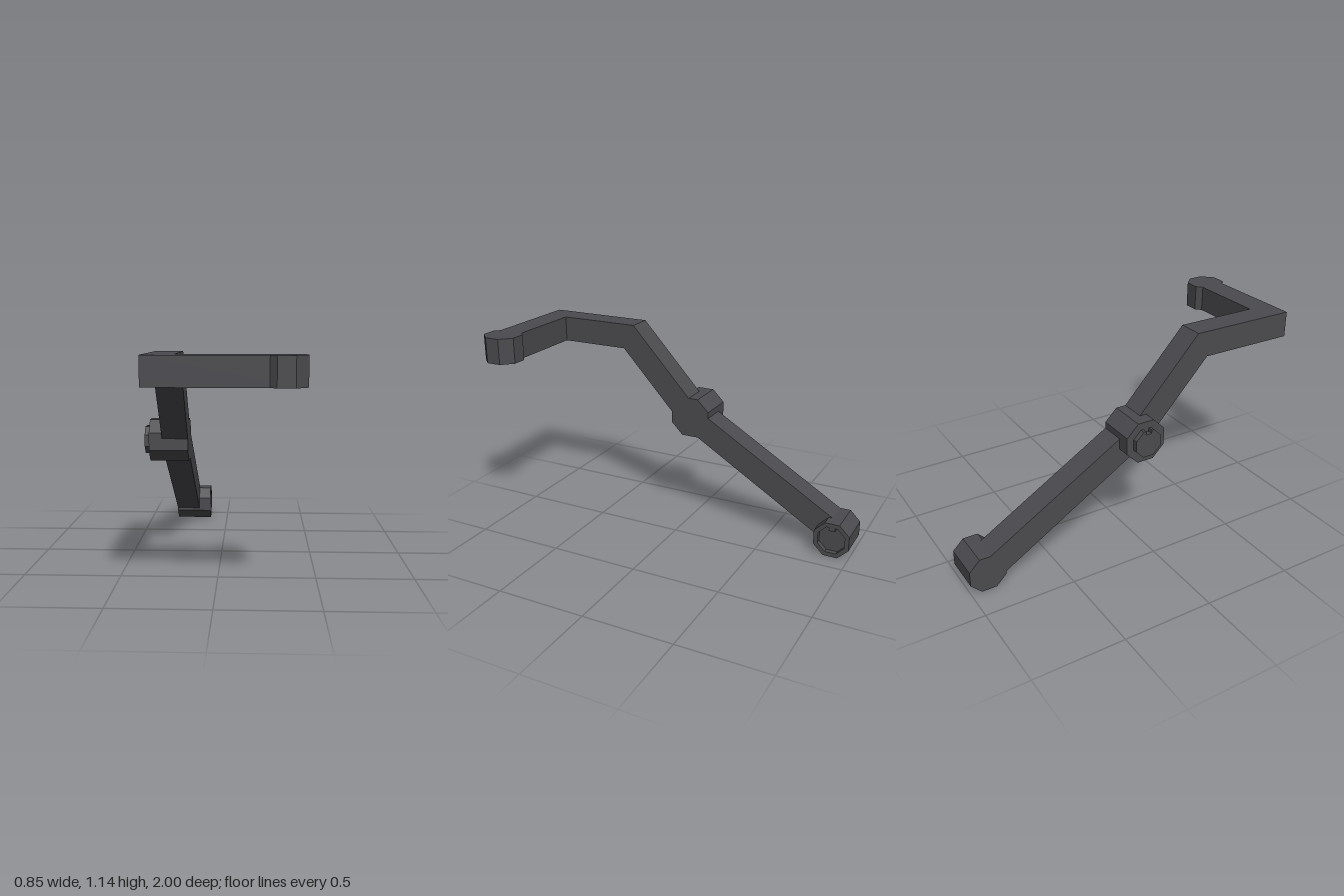
import * as THREE from 'three';

const iron = new THREE.MeshStandardMaterial({ color: 0x4b4a4e });
iron.name = 'dark iron';

// Octagon with flat sides, h = half the width across flats
function octagon(h, cx = 0, cy = 0) {
  const f = h * 0.414;
  return [[f, h], [-f, h], [-h, f], [-h, -f], [-f, -h], [f, -h], [h, -f], [h, f]]
    .map(([x, y]) => [x + cx, y + cy]);
}

// Octagon with a small square key notch in its top edge
function keyed(h, cx, cy) {
  const k = 0.017, d = 0.02;
  const notch = [[k, h], [k, h - d], [-k, h - d], [-k, h]].map(([x, y]) => [x + cx, y + cy]);
  const o = octagon(h, cx, cy);
  return [o[0], ...notch, ...o.slice(1)];
}

const toPoints = (pts) => pts.map(([x, y]) => new THREE.Vector2(x, y));

function extrude(pts, depth, hole) {
  const shape = new THREE.Shape(toPoints(pts));
  if (hole) shape.holes.push(new THREE.Path(toPoints(hole)));
  return new THREE.ExtrudeGeometry(shape, { depth, bevelEnabled: false });
}

export function createModel() {
  const group = new THREE.Group();
  group.name = 'crank';

  const add = (name, geometry) => {
    const mesh = new THREE.Mesh(geometry, iron);
    mesh.name = name;
    group.add(mesh);
  };
  // Side profile given as (-z, y), running from x0 to x1
  const addSide = (name, pts, x0, x1, hole) =>
    add(name, extrude(pts, x1 - x0, hole).rotateY(Math.PI / 2).translate(x0, 0, 0));
  // Plan outline given as (x, z), running from y0 up to y1
  const addPlan = (name, pts, y0, y1, hole) =>
    add(name, extrude(pts, y1 - y0, hole).rotateX(Math.PI / 2).translate(0, y1, 0));

  const left = -0.325, right = -0.182;

  // Links between the hubs
  addSide('upperLink', [[-0.85, 1.002], [-0.43, 1.002], [-0.07, 0.613],
    [0.035, 0.711], [-0.365, 1.145], [-0.85, 1.145]], left, right);
  addSide('lowerLink', [[0, 0.5], [0.8, 0.075], [0.86, 0.04], [0.9, 0.19], [0.88, 0.2],
    [0, 0.725]].map(([z, y], i) => (i === 0 ? [z, 0.56] : [z, y])), left, right);

  // Middle hub with its keyed peg
  addSide('middleHub', octagon(0.115, 0, 0.644), -0.397, right);
  addSide('hubPeg', keyed(0.075, 0, 0.644), -0.425, -0.397);

  // Rear hub with a keyed socket facing sideways
  addSide('rearHub', octagon(0.1, 0.9, 0.1), left, -0.14);
  addSide('rearSocketRim', octagon(0.1, 0.9, 0.1), -0.14, -0.11, keyed(0.076, 0.9, 0.1));

  // Front arm ending in an octagonal head with a keyed socket underneath
  const cx = 0.322, cz = 0.9, head = octagon(0.1, cx, cz);
  const arm = [[left, 0.828], [0.25, 0.828], head[4], head[5], head[6], head[7],
    head[0], head[1], [0.25, 0.972], [left, 0.972]];
  addPlan('frontArm', arm, 1.032, 1.145);
  addPlan('frontSocketRim', arm, 1.002, 1.032, keyed(0.076, cx, cz));

  return group;
}
